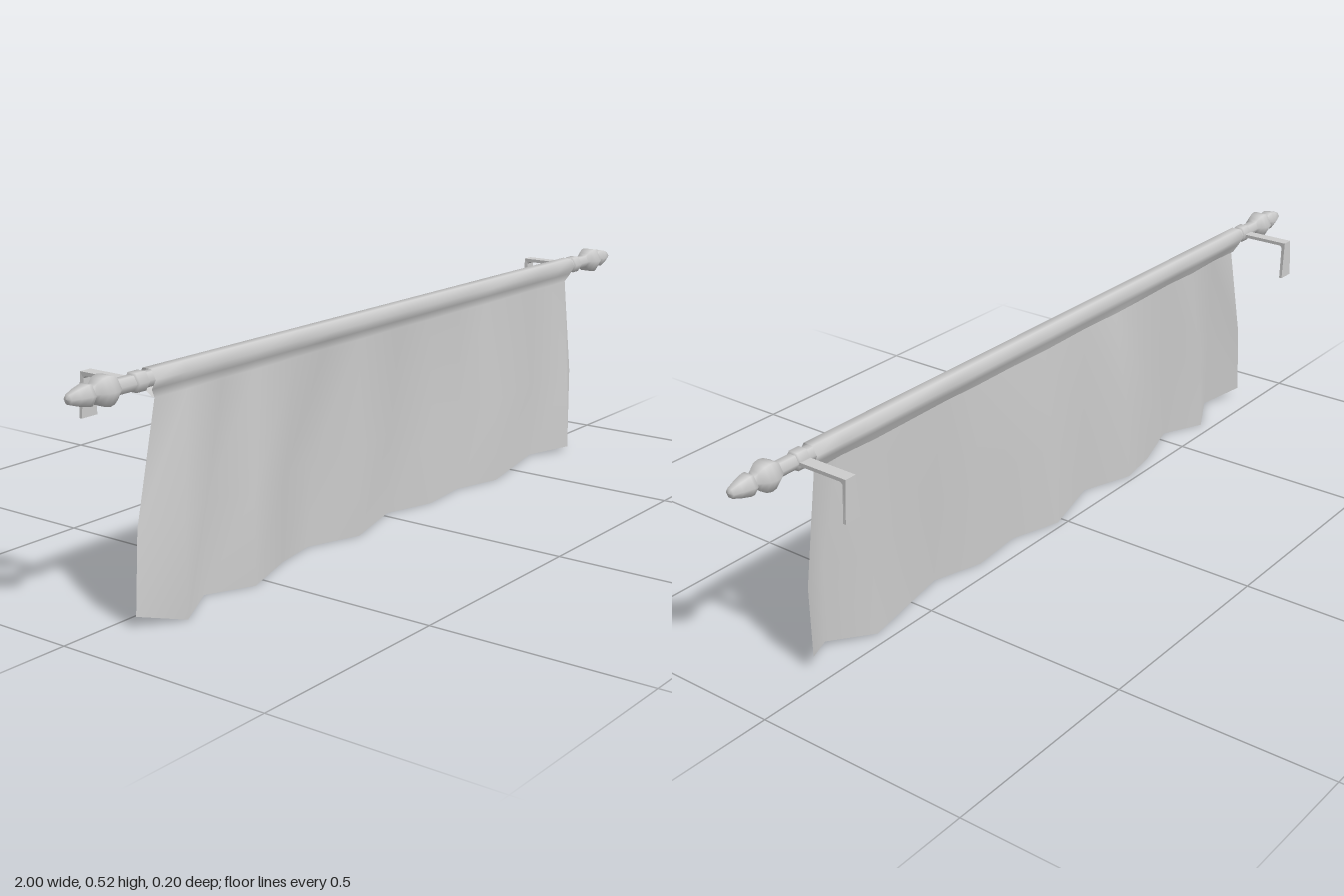
import * as THREE from 'three';

const ROD_Y = 0.49, ROD_Z = 0.04;
const material = new THREE.MeshStandardMaterial({ color: 0xcccccc });
const clothMaterial = new THREE.MeshStandardMaterial({ color: 0xcccccc, side: THREE.DoubleSide });

function part(name, geometry, mat = material) {
  const mesh = new THREE.Mesh(geometry, mat);
  mesh.name = name;
  return mesh;
}

// Six-sided turned shape lying along x; profile is a list of [radius, x]
function turned(profile) {
  const g = new THREE.LatheGeometry(profile.map(([r, x]) => new THREE.Vector2(r, x)), 6);
  return g.rotateZ(-Math.PI / 2).translate(0, ROD_Y, ROD_Z);
}

// Hanging cloth: a folded sheet whose top edge loops around the rod
function clothGeometry() {
  // hem points: x, z, y
  const hem = [
    [-0.855, 0.05, 0.025], [-0.76, 0.098, 0], [-0.64, 0.032, 0], [-0.535, 0.082, 0],
    [-0.39, 0.035, 0], [-0.28, 0.016, 0], [-0.15, 0.062, 0], [0.02, 0.016, 0],
    [0.145, 0.055, 0], [0.28, 0.042, 0], [0.4, 0.078, 0], [0.64, 0.03, 0.002],
    [0.74, 0.087, 0.012], [0.82, 0.04, 0.035],
  ];
  // rows: y, z offset, fold strength, width scale, x shift
  const rows = [
    [0, 0, 1, 1, -0.0175], [0.2, 0, 0.8, 0.992, -0.01],
    [0.45, 0.003, 0.08, 0.928, 0],
  ];
  const r = 0.023;
  for (let k = 0; k < 6; k++) {
    const a = -Math.PI / 3 + k * Math.PI / 3;
    rows.push([ROD_Y + r * Math.sin(a), r * Math.cos(a), 0, 0.945, 0]);
  }
  rows.push([0.45, -0.003, 0.08, 0.928, 0]);

  const positions = [], index = [], n = hem.length;
  rows.forEach(([y, dz, fold, scale, shift], i) => {
    hem.forEach(([x, z, hemY], j) => {
      positions.push((x + 0.0175) * scale + shift, i === 0 ? hemY : y, ROD_Z + dz + (z - ROD_Z) * fold);
      if (i > 0 && j > 0) {
        const d = i * n + j, c = d - 1, b = d - n, a = b - 1;
        index.push(a, b, d, a, d, c);
      }
    });
  });
  const g = new THREE.BufferGeometry();
  g.setAttribute('position', new THREE.Float32BufferAttribute(positions, 3));
  g.setIndex(index);
  g.computeVertexNormals();
  return g;
}

// L-shaped bracket strip, widening toward the foot of its wall plate
function bracketGeometry() {
  const outline = [[-0.03, 0.493], [0.099, 0.493], [0.099, 0.4], [0.092, 0.4], [0.09, 0.48], [0.085, 0.485], [-0.03, 0.485]];
  const shape = new THREE.Shape(outline.map(([z, y]) => new THREE.Vector2(z, y)));
  const g = new THREE.ExtrudeGeometry(shape, { depth: 1, bevelEnabled: false });
  g.translate(0, 0, -0.5).rotateY(Math.PI / 2); // outline runs toward -z
  const p = g.attributes.position;
  for (let i = 0; i < p.count; i++) {
    p.setX(i, p.getX(i) * (p.getY(i) < 0.45 ? 0.042 : 0.028));
  }
  g.computeVertexNormals();
  return g;
}

export function createModel() {
  const model = new THREE.Group();
  model.name = 'hangingBanner';

  model.add(part('rod', turned([[0.017, -0.88], [0.017, 0.88]])));
  model.add(part('cloth', clothGeometry(), clothMaterial));

  // Finial, collar and bracket at each end
  const finial = [
    [0.017, 0.865], [0.014, 0.874], [0.024, 0.882], [0.032, 0.895], [0.034, 0.908], [0.031, 0.921],
    [0.022, 0.933], [0.014, 0.94], [0.024, 0.947], [0.024, 0.955], [0.018, 0.978], [0.011, 0.997], [0, 1],
  ];
  const collar = [[0.016, 0.803], [0.022, 0.806], [0.022, 0.832], [0.016, 0.835]];
  for (const side of [-1, 1]) {
    const end = new THREE.Group();
    end.name = side > 0 ? 'leftEnd' : 'rightEnd';
    const bracket = part('bracket', bracketGeometry());
    bracket.position.x = 0.82;
    end.add(part('finial', turned(finial)), part('collar', turned(collar)), bracket);
    // half turn about the rod's own vertical axis for the finial and collar
    if (side < 0) {
      for (const child of end.children) {
        if (child === bracket) child.position.x = -0.82;
        else {
          child.rotation.y = Math.PI;
          child.position.z = 2 * ROD_Z;
        }
      }
    }
    model.add(end);
  }
  return model;
}
